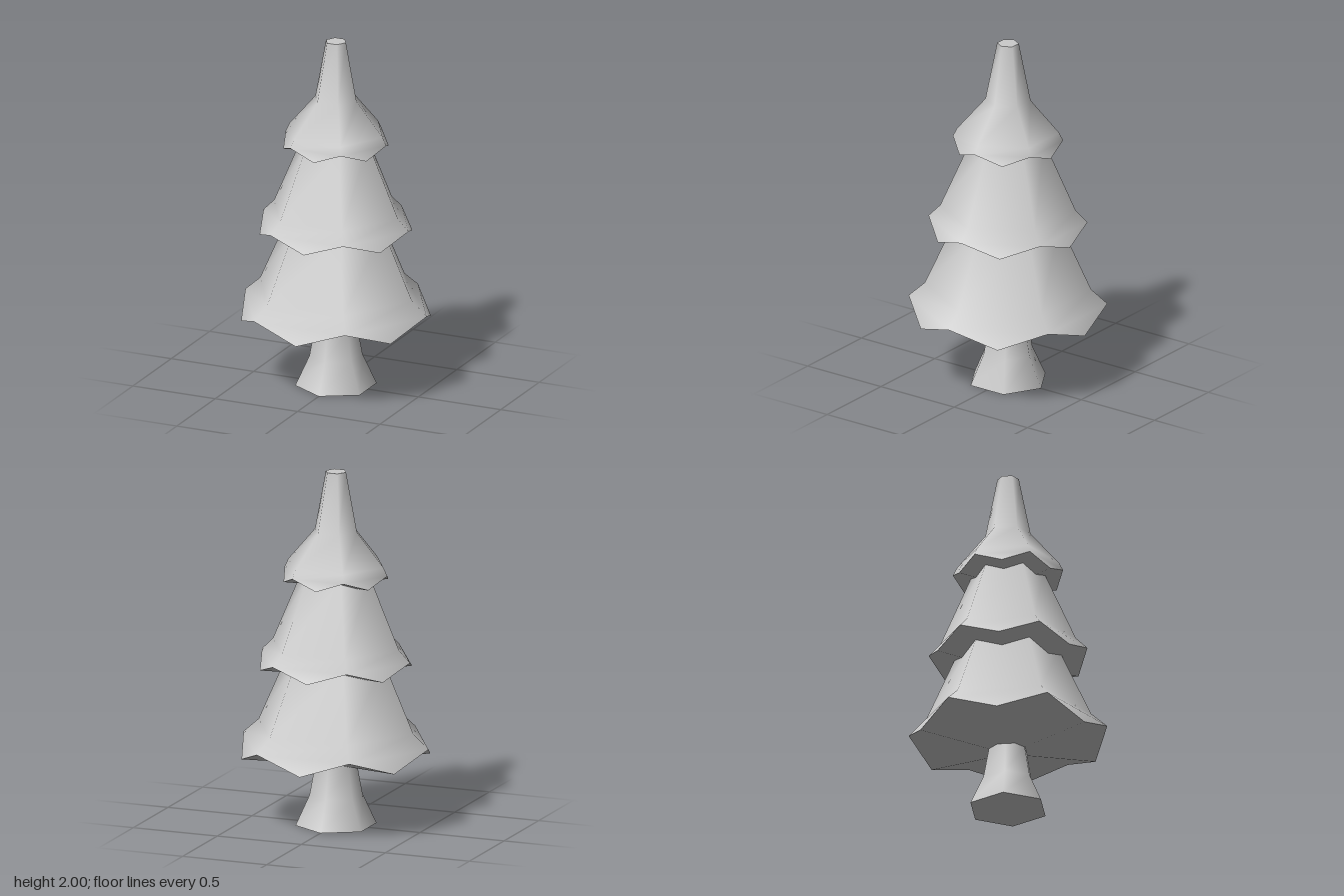
import * as THREE from 'three';
import { toCreasedNormals } from 'three/addons/utils/BufferGeometryUtils.js';

const SIDES = 6;

// Point on a circle of radius r at height y; step counts sixths of a turn.
function ringPoint([r, y], step) {
  const a = (step % SIDES) * Math.PI * 2 / SIDES;
  return [r * Math.cos(a), y, r * Math.sin(a)];
}

// Six-sided body through [radius, height] rings, listed from bottom to top.
// tip is the [radius, height] of the drooping points between the lowest corners.
function hexBody(name, rings, baseY, tip, turn = 0) {
  const pos = [];
  const tri = (...points) => points.forEach((p) => pos.push(...p));
  const top = rings[rings.length - 1];
  const base = [0, baseY, 0];
  const cap = [0, top[1], 0];

  for (let i = 0; i < SIDES; i++) {
    const a = i + turn, b = i + 1 + turn;
    // side walls
    for (let k = 0; k < rings.length - 1; k++) {
      const la = ringPoint(rings[k], a), lb = ringPoint(rings[k], b);
      const ua = ringPoint(rings[k + 1], a), ub = ringPoint(rings[k + 1], b);
      tri(lb, la, ua);
      tri(lb, ua, ub);
    }
    // lower hem and underside
    const ca = ringPoint(rings[0], a), cb = ringPoint(rings[0], b);
    if (tip) {
      const m = ringPoint(tip, a + 0.5);
      tri(cb, m, ca);
      tri(base, ca, m);
      tri(base, m, cb);
    } else {
      tri(base, ca, cb);
    }
    // flat top
    tri(cap, ringPoint(top, b), ringPoint(top, a));
  }

  const geometry = new THREE.BufferGeometry();
  geometry.setAttribute('position', new THREE.Float32BufferAttribute(pos, 3));
  const mesh = new THREE.Mesh(
    toCreasedNormals(geometry, 1.12),
    new THREE.MeshStandardMaterial({ color: 0xcccccc })
  );
  mesh.name = name;
  return mesh;
}

export function createModel() {
  const tree = new THREE.Group();
  tree.name = 'firTree';

  // flared trunk, turned so its corners sit under the drooping tips
  tree.add(hexBody('trunk', [[0.225, 0], [0.147, 0.17], [0.115, 0.345], [0.108, 0.4]], 0, null, 0.5));

  // three stacked skirts of branches
  tree.add(hexBody('lowerBranches', [[0.55, 0.475], [0.46, 0.555], [0.283, 0.95]], 0.335, [0.524, 0.385]));
  tree.add(hexBody('middleBranches', [[0.44, 0.955], [0.375, 1.02], [0.197, 1.43]], 0.843, [0.422, 0.885]));
  tree.add(hexBody('upperBranches', [[0.305, 1.435], [0.283, 1.48], [0.125, 1.665], [0.06, 2]], 1.35, [0.291, 1.382]));

  return tree;
}
